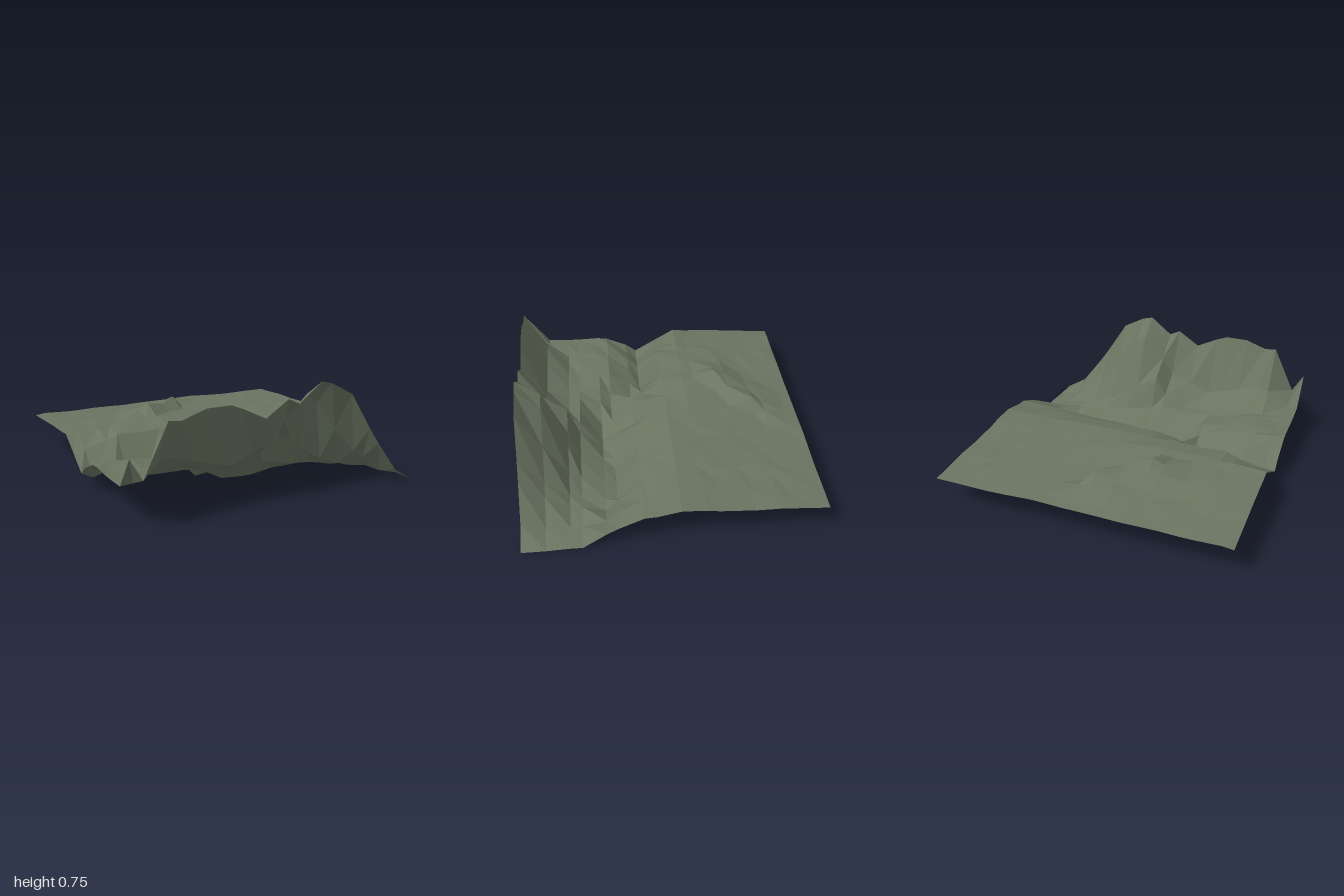
import * as THREE from 'three';

// Piecewise-linear curve through [position, value] pairs
function curve(points, t) {
  if (t <= points[0][0]) return points[0][1];
  for (let i = 1; i < points.length; i++) {
    const [a, va] = points[i - 1], [b, vb] = points[i];
    if (t <= b) return va + (vb - va) * (t - a) / (b - a);
  }
  return points[points.length - 1][1];
}

// Mountain heights along x: front crest, upper slope, lower slope
const crest = [[-1, 0.47], [-0.92, 0.33], [-0.77, 0.65], [-0.69, 0.64], [-0.54, 0.69], [-0.38, 0.69],
  [-0.31, 0.66], [-0.15, 0.58], [0, 0.68], [0.08, 0.64], [0.23, 0.76], [0.31, 0.74], [0.46, 0.66],
  [0.62, 0.41], [0.69, 0.31], [0.85, 0.1], [1, 0.01]];
const upperSlope = [[-1, 0.265], [-0.92, 0.27], [-0.77, 0.37], [-0.69, 0.38], [-0.54, 0.34], [-0.31, 0.27],
  [-0.15, 0.33], [0, 0.37], [0.08, 0.51], [0.23, 0.65], [0.31, 0.59], [0.46, 0.4], [0.62, 0.22], [0.85, 0.05], [1, 0.01]];
const lowerSlope = [[-1, 0.26], [-0.54, 0.24], [-0.31, 0.19], [-0.15, 0.19], [0, 0.25], [0.08, 0.4], [0.23, 0.31],
  [0.31, 0.26], [0.46, 0.16], [0.69, 0.07], [1, 0.02]];
// Height of the terrace between valley and mountains
const terrace = [[-1, 0.25], [-0.8, 0.26], [-0.54, 0.22], [-0.3, 0.18], [0, 0.2], [0.08, 0.18], [0.3, 0.12],
  [0.6, 0.07], [1, 0.02]];
// Height of the valley floor
const floor = [[-1, 0.12], [-0.92, 0.08], [-0.77, 0.13], [-0.69, 0.07], [-0.54, 0.07], [-0.46, 0.09],
  [-0.38, 0.06], [0, 0.035], [0.62, 0.025], [0.69, 0.015], [1, 0.02]];
// Where, in z, the far bank starts, breaks and ends, and where the terrace begins
const bankTop = [[-1, -0.2], [-0.92, -0.1], [-0.69, -0.04], [-0.31, -0.03], [-0.15, 0.11], [0.08, 0.15], [0.62, 0.17], [1, 0.2]];
const bankMid = [[-1, 0], [-0.69, 0.04], [-0.38, 0.115], [-0.31, 0.19], [0, 0.19], [0.08, 0.25], [0.62, 0.27], [1, 0.42]];
const bankFoot = [[-0.54, 0.115], [-0.38, 0.19], [-0.31, 0.346], [-0.15, 0.42], [0.08, 0.42], [0.31, 0.346],
  [0.62, 0.346], [0.69, 0.42], [1, 0.57]];
const bankMidHeight = [[-1, 0.19], [-0.54, 0.16], [0, 0.16], [0.62, 0.15], [1, 0.13]];
const terraceZ = [[-1, 0.3], [-0.69, 0.27], [-0.38, 0.42], [-0.15, 0.57], [1, 0.577]];
// Plateau height along z, and the low hill on its right half
const plateau = [[-0.96, 0.235], [-0.73, 0.252], [-0.43, 0.262], [-0.2, 0.28], [-0.04, 0.287], [0.11, 0.253], [0.2, 0.248]];
const hillZ = [[-0.7, 0], [-0.43, 1], [-0.2, 1], [-0.04, 0]];
const hillX = [[-1, 0.01], [-0.69, 0.025], [-0.31, 0.035], [0, 0.015], [0.3, 0]];

function heightAt(x, z) {
  const foot = curve(bankFoot, x);
  if (z < foot) {
    let high = curve(plateau, z) - 0.012 * x + curve(hillX, x) * curve(hillZ, z);
    // Raised scarp crossing the plateau
    const s = x + z + 0.65, t = x - z;
    if (s < 0.06 && s > -0.4) {
      high += curve([[-0.1, 0], [0.1, 0.1], [0.4, 0.05], [0.65, 0.085], [0.85, 0.01]], t) * Math.min(1, 1 + s / 0.4);
    }
    // Bank stepping down to the valley floor
    return curve([[curve(bankTop, x), high], [curve(bankMid, x), curve(bankMidHeight, x)], [foot, curve(floor, x)]], z);
  }
  // Floor, terrace and mountainside
  return curve([[foot, curve(floor, x)], [curve(terraceZ, x), curve(terrace, x)], [0.577, curve(terrace, x)],
    [0.654, curve(lowerSlope, x)], [0.808, curve(upperSlope, x)], [0.962, curve(crest, x)]], z);
}

export function createModel() {
  const group = new THREE.Group();
  const n = 16;
  let seed = 7;
  const random = () => (seed = (seed * 16807) % 2147483647) / 2147483647;

  // Terrain sheet on an uneven 16 by 16 grid
  const sheet = new THREE.PlaneGeometry(2, 2, n, n).rotateX(-Math.PI / 2);
  const pos = sheet.attributes.position;
  for (let k = 0; k < pos.count; k++) {
    const i = k % (n + 1), j = Math.floor(k / (n + 1));
    const x = Math.floor(i * 26 / n) / 13 - 1;
    const z = (Math.floor(j * 25 / n) - 12.5) / 13;
    const rough = z > 0.7 ? 0 : z > 0.3 && x < 0.6 ? 0.018 : 0.01;
    pos.setXYZ(k, x, Math.max(0, heightAt(x, z) + (random() - 0.5) * rough), z);
  }
  sheet.computeVertexNormals();

  const terrain = new THREE.Mesh(sheet, new THREE.MeshStandardMaterial({
    color: 0x6a7461, flatShading: true, side: THREE.DoubleSide,
  }));
  terrain.name = 'terrain';
  group.add(terrain);
  return group;
}
